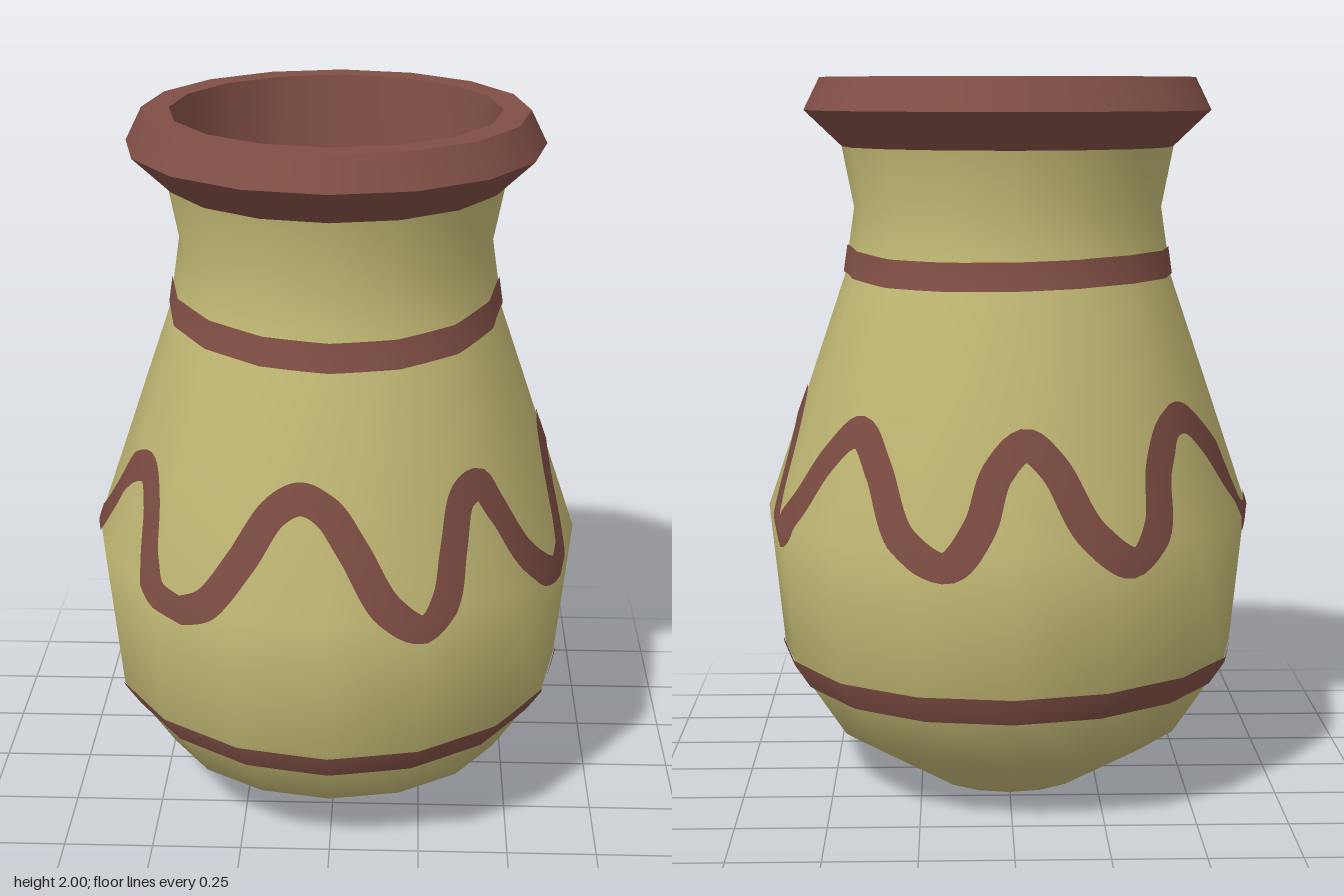
import * as THREE from 'three';

const SIDES = 16;
const STEP = (Math.PI * 2) / SIDES;
const V = (x, y) => new THREE.Vector2(x, y);

const clay = new THREE.MeshStandardMaterial({ color: 0xc2b974 });
clay.name = 'olive clay';
const glaze = new THREE.MeshStandardMaterial({ color: 0x804f45 });
glaze.name = 'brown glaze';

// Outer profile of the body, bottom to neck: radius, height
const bodyProfile = [
  V(0.225, 0), V(0.5, 0.165), V(0.645, 0.385), V(0.685, 0.79),
  V(0.46, 1.45), V(0.432, 1.64), V(0.465, 1.81),
];
const rimProfile = [V(0.465, 1.81), V(0.57, 1.91), V(0.525, 2), V(0.45, 2), V(0.41, 1.67)];

// Outward tilt of the smooth normal at each profile point
const tilts = bodyProfile.map((p, i) => {
  const a = bodyProfile[Math.max(i - 1, 0)];
  const b = bodyProfile[Math.min(i + 1, bodyProfile.length - 1)];
  const n1 = V(p.y - a.y, a.x - p.x).normalize();
  const n2 = V(b.y - p.y, p.x - b.x).normalize();
  return n1.add(n2).normalize();
});

// Point and normal on the faceted body at an angle (0 = front, 90 deg = left) and height
function onBody(angle, y, lift) {
  let k = 0;
  while (k < bodyProfile.length - 2 && y > bodyProfile[k + 1].y) k++;
  const t = (y - bodyProfile[k].y) / (bodyProfile[k + 1].y - bodyProfile[k].y);
  const r = bodyProfile[k].clone().lerp(bodyProfile[k + 1], t).x;
  const tilt = tilts[k].clone().lerp(tilts[k + 1], t).normalize();
  const local = angle - Math.floor(angle / STEP) * STEP - STEP / 2;
  const flat = (r * Math.cos(STEP / 2)) / Math.cos(local);
  const s = Math.sin(angle), c = Math.cos(angle);
  const normal = [s * tilt.x, tilt.y, c * tilt.x];
  const base = [s * flat, y, c * flat];
  return { position: base.map((v, i) => v + normal[i] * lift), normal };
}

// Painted ribbon that follows [degrees, height] points around the body
function ribbon(name, points, halfWidth, columns) {
  const unroll = 0.62;
  const rows = 6;
  const curve = new THREE.CatmullRomCurve3(
    points.map(([deg, y]) => new THREE.Vector3(THREE.MathUtils.degToRad(deg) * unroll, y, 0)),
    false, 'centripetal');
  const positions = [], normals = [], index = [];
  for (let i = 0; i <= columns; i++) {
    const p = curve.getPointAt(i / columns);
    const d = curve.getTangentAt(i / columns);
    if (i === 0 || i === columns) d.set(1, 0, 0);
    for (let j = 0; j <= rows; j++) {
      const w = ((2 * j) / rows - 1) * halfWidth;
      const q = onBody((p.x - d.y * w) / unroll, p.y + d.x * w, 0.005);
      positions.push(...q.position);
      normals.push(...q.normal);
      if (i < columns && j < rows) {
        const a = i * (rows + 1) + j, b = a + rows + 1;
        index.push(a, b, a + 1, b, b + 1, a + 1);
      }
    }
  }
  const g = new THREE.BufferGeometry();
  g.setAttribute('position', new THREE.Float32BufferAttribute(positions, 3));
  g.setAttribute('normal', new THREE.Float32BufferAttribute(normals, 3));
  g.setIndex(index);
  return named(name, g, glaze);
}

function named(name, geometry, material) {
  const mesh = new THREE.Mesh(geometry, material);
  mesh.name = name;
  return mesh;
}

// Horizontal disc whose corners line up with the body
function disc(name, radius, y, up, material) {
  const mesh = named(name, new THREE.CircleGeometry(radius, SIDES), material);
  mesh.rotation.x = up ? -Math.PI / 2 : Math.PI / 2;
  mesh.position.y = y;
  return mesh;
}

export function createModel() {
  const vase = new THREE.Group();
  vase.name = 'vase';

  // Body and base
  vase.add(named('body', new THREE.LatheGeometry(bodyProfile, SIDES), clay));
  vase.add(disc('base', 0.225, 0, false, clay));

  // Rim: one ring per profile segment keeps the edges between them sharp
  const rim = new THREE.Group();
  rim.name = 'rim';
  for (let i = 0; i < rimProfile.length - 1; i++) {
    rim.add(named('rimRing', new THREE.LatheGeometry(rimProfile.slice(i, i + 2), SIDES), glaze));
  }
  vase.add(rim);

  // Inside of the neck and the floor below it
  vase.add(named('innerNeck', new THREE.LatheGeometry([V(0.41, 1.67), V(0.4, 1.45)], SIDES), clay));
  vase.add(disc('innerFloor', 0.4, 1.45, true, glaze));

  // Slightly uneven painted bands
  vase.add(ribbon('lowerBand', [
    [-90, 0.355], [-45, 0.345], [0, 0.333], [45, 0.342], [90, 0.36],
    [135, 0.352], [180, 0.358], [225, 0.362], [270, 0.355],
  ], 0.04, 192));
  vase.add(ribbon('upperBand', [
    [-90, 1.49], [-45, 1.465], [0, 1.45], [45, 1.46], [90, 1.497],
    [135, 1.48], [180, 1.482], [225, 1.49], [270, 1.49],
  ], 0.038, 192));

  // Hand-drawn wave around the belly
  vase.add(ribbon('wave', [
    [-36, 0.76], [-29, 0.8], [-21, 0.93], [-14, 1.06], [-7, 1.1], [0, 1.07], [6.5, 0.97],
    [14, 0.82], [22, 0.76], [28, 0.83], [32, 0.95], [37, 1.07], [43, 1.09], [47, 1.02],
    [55, 0.86], [65, 0.78], [73, 0.86], [81, 1.01], [90, 1.1], [98, 1.0],
    [104, 0.84], [111, 0.76], [118, 0.84], [126, 0.98], [137, 1.07], [145, 0.98],
    [154, 0.82], [165, 0.75], [172, 0.85], [176, 0.99], [183, 1.06], [190, 1.0],
    [198, 0.83], [208, 0.75], [215, 0.83], [219, 0.98], [226, 1.08], [234, 1.09],
    [242, 1.02], [250, 0.88], [257, 0.79], [264, 0.77], [272, 0.8], [284, 0.93],
    [294, 1.05], [301, 1.07], [307, 1.0], [312, 0.87], [316, 0.79], [324, 0.76],
  ], 0.042, 420));

  return vase;
}
